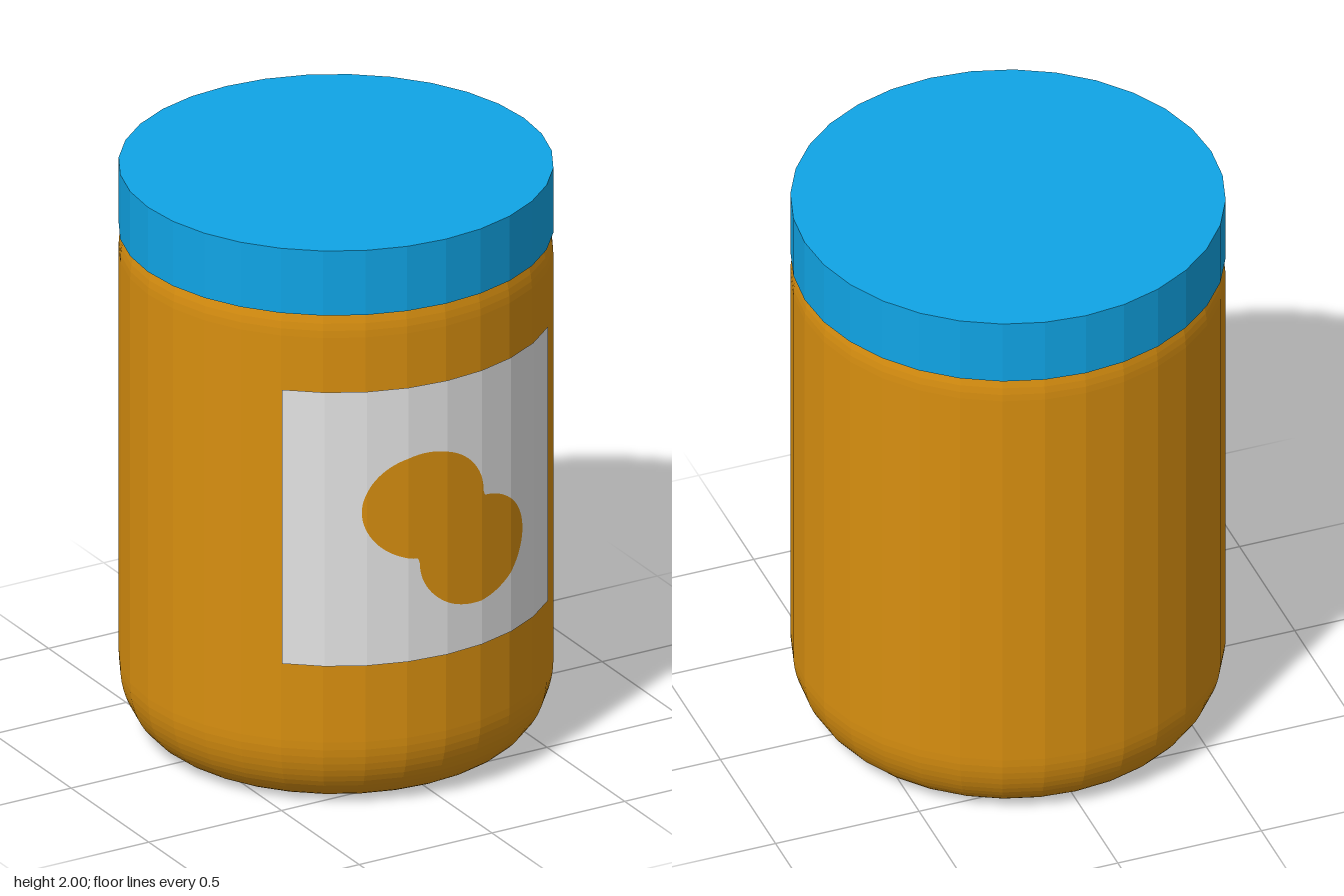
import * as THREE from 'three';

const SIDES = 32, R = 0.708, STEP = (Math.PI * 2) / SIDES;

const material = (name, color, side = THREE.FrontSide) => {
  const m = new THREE.MeshStandardMaterial({ color, side });
  m.name = name;
  return m;
};

function addMesh(group, name, geometry, mat, z) {
  const flat = geometry.index ? geometry.toNonIndexed() : geometry;
  flat.computeVertexNormals();
  const mesh = new THREE.Mesh(flat, mat);
  mesh.name = name;
  mesh.position.z = z;
  group.add(mesh);
}

// Depth of the faceted jar wall at a given x
function wallZ(x) {
  const k = Math.floor(Math.asin(Math.max(-1, Math.min(1, x / R))) / STEP + 1e-9);
  for (const i of [k - 1, k, k + 1]) {
    const a = i * STEP, b = a + STEP;
    const xa = R * Math.sin(a), xb = R * Math.sin(b);
    if (x >= xa - 1e-9 && x <= xb + 1e-9) {
      return THREE.MathUtils.lerp(R * Math.cos(a), R * Math.cos(b), (x - xa) / (xb - xa));
    }
  }
  return 0;
}

// Sheet hugging the jar wall between a lower and an upper outline
function wrappedSheet(xs, low, high) {
  const pos = [];
  for (let i = 0; i < xs.length - 1; i++) {
    const [a, b] = [xs[i], xs[i + 1]];
    const p = [a, low(a), wallZ(a)], q = [b, low(b), wallZ(b)];
    const r = [b, high(b), wallZ(b)], s = [a, high(a), wallZ(a)];
    pos.push(...p, ...q, ...r, ...p, ...r, ...s);
  }
  const g = new THREE.BufferGeometry();
  g.setAttribute('position', new THREE.Float32BufferAttribute(pos, 3));
  return g;
}

export function createModel() {
  const group = new THREE.Group();
  group.name = 'jar';
  const amber = material('amber', 0xd88f10);
  const amberSheet = material('amber emblem', 0xd88f10, THREE.DoubleSide);
  const blue = material('lid blue', 0x10a5e6);
  const white = material('label white', 0xe6e6e6, THREE.DoubleSide);

  // Jar body: flat base, rounded heel, straight wall, shoulder under the lid
  const profile = [new THREE.Vector2(0, 0)];
  const N = 14;
  for (let i = 0; i <= N; i++) {
    const t = (i / N) * Math.PI / 2;
    profile.push(new THREE.Vector2(R - 0.18 + 0.18 * Math.sin(t), 0.25 - 0.25 * Math.cos(t)));
  }
  for (let i = 0; i <= N; i++) {
    const t = (i / N) * Math.PI / 2;
    profile.push(new THREE.Vector2(R - 0.17 + 0.17 * Math.cos(t), 1.69 + 0.22 * Math.sin(t)));
  }
  addMesh(group, 'jarBody', new THREE.LatheGeometry(profile, SIDES), amber, -0.004);

  // Lid
  const lid = new THREE.CylinderGeometry(R, R, 0.23, SIDES);
  lid.translate(0, 1.885, 0);
  addMesh(group, 'lid', lid, blue, -0.004);

  // Emblem outline: two overlapping ovals
  const ovals = [{ x: -0.07, y: 1.07 }, { x: 0.118, y: 0.868 }];
  const RX = 0.216, RY = 0.187;
  const left = ovals[0].x - RX, right = ovals[1].x + RX;
  const edge = (x, sign) => {
    const ys = ovals.filter(o => Math.abs(x - o.x) <= RX + 1e-9)
      .map(o => o.y + sign * RY * Math.sqrt(Math.max(0, 1 - ((x - o.x) / RX) ** 2)));
    return sign > 0 ? Math.max(...ys) : Math.min(...ys);
  };
  const top = x => edge(x, 1), bottom = x => edge(x, -1);

  // Columns at the wall's facet edges, plus fine ones along the ovals
  const facets = [];
  for (let k = -4; k <= 4; k++) facets.push(R * Math.sin(k * STEP));
  const fine = facets.filter(x => x > left && x < right);
  for (const o of ovals) {
    for (let i = 0; i <= 40; i++) fine.push(o.x - RX * Math.cos((i / 40) * Math.PI));
  }
  fine.sort((a, b) => a - b);
  const columns = fine.filter((x, i) => i === 0 || x - fine[i - 1] > 1e-6);

  // Label around the emblem, with the emblem set flush into it
  const Z = 0.005, y0 = () => 0.525, y1 = () => 1.5;
  const before = [...facets.filter(x => x < left), left];
  const after = [right, ...facets.filter(x => x > right)];
  addMesh(group, 'labelRightEnd', wrappedSheet(before, y0, y1), white, Z);
  addMesh(group, 'labelLeftEnd', wrappedSheet(after, y0, y1), white, Z);
  addMesh(group, 'labelAboveEmblem', wrappedSheet(columns, top, y1), white, Z);
  addMesh(group, 'labelBelowEmblem', wrappedSheet(columns, y0, bottom), white, Z);
  addMesh(group, 'peanutEmblem', wrappedSheet(columns, bottom, top), amberSheet, Z);

  return group;
}
